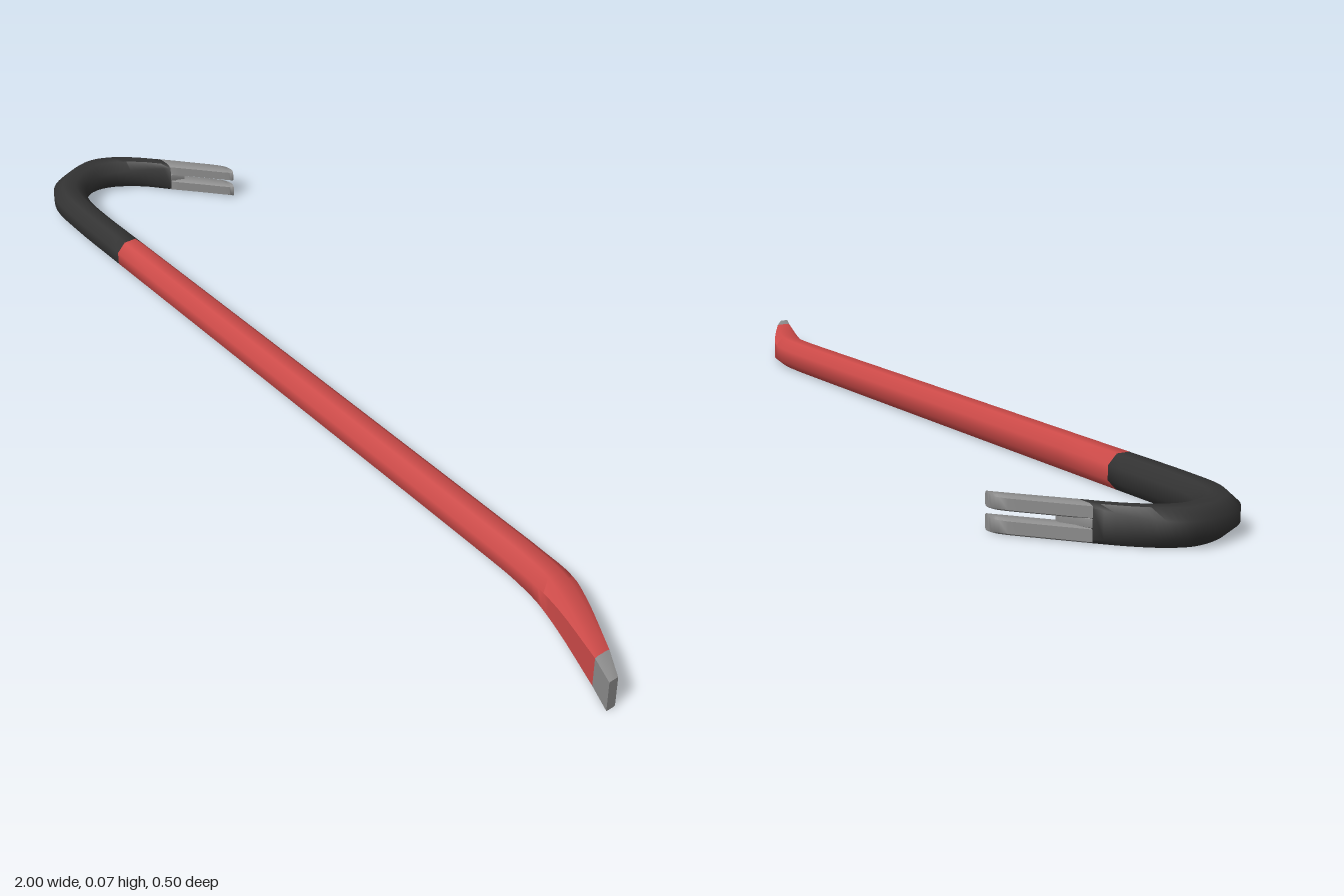
import * as THREE from 'three';
import { toCreasedNormals } from 'three/addons/utils/BufferGeometryUtils.js';

const H = 0.066; // bar height

// Each station: [inner x, inner z, outer x, outer z, flat along width, flat along height]
// The section is an octagon spanning the two edges, between y0 and y1.
function loft(stations, y0, y1, steps) {
  const curve = (i) => new THREE.CatmullRomCurve3(
    stations.map((s) => new THREE.Vector3(s[i], s[i + 1], s[i + 2] ?? 0)), false, 'centripetal');
  const inner = new THREE.CatmullRomCurve3(stations.map((s) => new THREE.Vector3(s[0], 0, s[1])), false, 'centripetal');
  const outer = new THREE.CatmullRomCurve3(stations.map((s) => new THREE.Vector3(s[2], 0, s[3])), false, 'centripetal');
  const segments = stations.length - 1, rows = segments * steps;
  const pos = [], index = [];
  for (let r = 0; r <= rows; r++) {
    const t = r / rows, i = Math.min(Math.floor(r / steps), segments - 1), f = r / steps - i;
    const a = inner.getPoint(t), b = outer.getPoint(t);
    const ku = THREE.MathUtils.lerp(stations[i][4], stations[i + 1][4], f);
    const kv = THREE.MathUtils.lerp(stations[i][5], stations[i + 1][5], f);
    const ring = [[1, -kv], [1, kv], [ku, 1], [-ku, 1], [-1, kv], [-1, -kv], [-ku, -1], [ku, -1]];
    for (const [u, v] of ring) {
      const p = a.clone().lerp(b, (u + 1) / 2);
      pos.push(p.x, (y0 + y1) / 2 + v * (y1 - y0) / 2, p.z);
    }
  }
  for (let r = 0; r < rows; r++) {
    for (let j = 0; j < 8; j++) {
      const p = r * 8 + j, q = r * 8 + (j + 1) % 8;
      index.push(p, p + 8, q, q, p + 8, q + 8);
    }
  }
  // End caps
  const e = rows * 8;
  for (let j = 1; j < 7; j++) index.push(0, j, j + 1, e, e + j + 1, e + j);
  const geo = new THREE.BufferGeometry();
  geo.setAttribute('position', new THREE.Float32BufferAttribute(pos, 3));
  geo.setIndex(index);
  return toCreasedNormals(geo, 0.9);
}

export function createModel() {
  const group = new THREE.Group();
  const steel = new THREE.MeshStandardMaterial({ color: 0x8c8c8c });
  const black = new THREE.MeshStandardMaterial({ color: 0x333333 });
  const red = new THREE.MeshStandardMaterial({ color: 0xcc4a48 });
  const add = (name, material, stations, y0 = 0, y1 = H, steps = 4) => {
    const mesh = new THREE.Mesh(loft(stations, y0, y1, steps), material);
    mesh.name = name;
    group.add(mesh);
  };
  const K = 0.42;

  // Split claw: two prongs joined by a recessed web at the root
  const prong = [
    [-0.728, -0.247, -0.745, -0.25, 0.6, 0.75],
    [-0.734, -0.239, -0.768, -0.246, 0.6, 0.75],
    [-0.785, -0.195, -0.833, -0.195, 0.6, 0.75],
    [-0.84, -0.147, -0.89, -0.147, 0.6, 0.75],
  ];
  add('lowerProng', steel, prong, 0, 0.028);
  add('upperProng', steel, prong, 0.04, H);
  add('clawWeb', steel, [
    [-0.826, -0.175, -0.838, -0.175, 0.9, 0.9],
    [-0.84, -0.147, -0.89, -0.147, 0.9, 0.9],
  ], 0.026, 0.042, 1);

  // Curved hook
  add('hook', black, [
    [-0.84, -0.147, -0.89, -0.147, 0.6, 0.8],
    [-0.885, -0.105, -0.945, -0.1, 0.5, 0.55],
    [-0.92, -0.05, -0.985, -0.055, K, K],
    [-0.93, -0.01, -1, -0.012, K, K],
    [-0.916, 0.03, -0.986, 0.052, K, K],
    [-0.89, 0.055, -0.955, 0.1, K, K],
    [-0.85, 0.069, -0.9, 0.128, K, K],
    [-0.78, 0.075, -0.8, 0.138, K, K],
    [-0.62, 0.077, -0.62, 0.142, K, K],
  ]);

  // Straight shaft, bending and flattening toward the chisel
  add('shaft', red, [
    [-0.62, 0.077, -0.62, 0.142, K, K],
    [0, 0.084, 0, 0.151, K, K],
    [0.58, 0.092, 0.58, 0.16, K, K],
    [0.68, 0.094, 0.68, 0.163, K, K],
    [0.765, 0.102, 0.75, 0.17, K, 0.5],
    [0.83, 0.13, 0.82, 0.186, 0.5, 0.7],
    [0.945, 0.193, 0.945, 0.226, 0.6, 0.95],
  ]);

  // Chisel tip
  add('chiselTip', steel, [
    [0.945, 0.193, 0.945, 0.226, 0.6, 0.95],
    [1, 0.228, 1, 0.248, 0.6, 0.97],
  ], 0, H, 2);
  return group;
}
